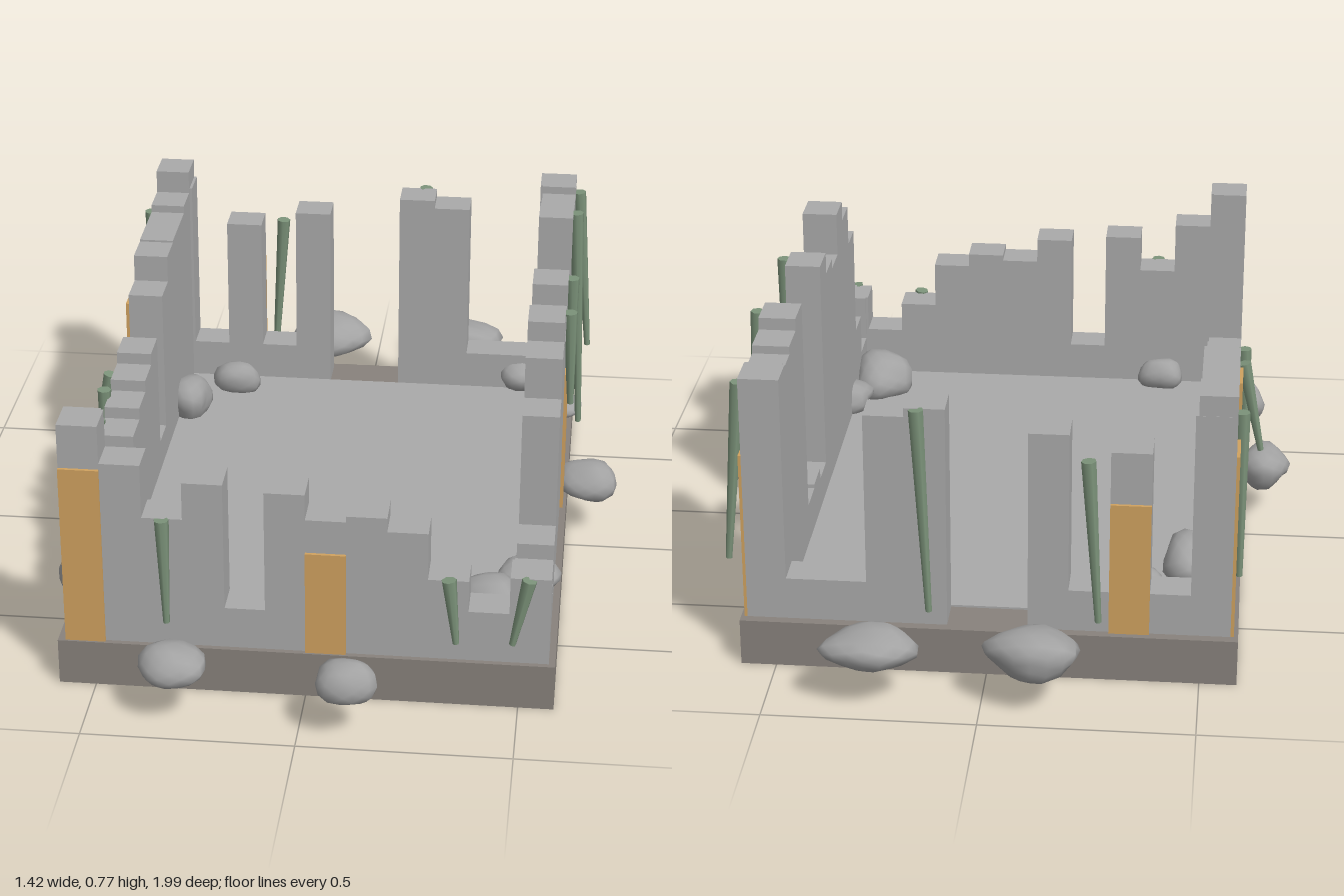
import * as THREE from 'three';
import { mergeVertices } from 'three/addons/utils/BufferGeometryUtils.js';

const mat = (name, color) => {
  const m = new THREE.MeshStandardMaterial({ color });
  m.name = name;
  return m;
};

export function createModel() {
  const model = new THREE.Group();
  const stone = mat('wallStone', 0xaaaaaa);
  const earth = mat('foundationStone', 0x88827c);
  const wood = mat('ochrePanel', 0xd0a260);
  const moss = mat('vineGreen', 0x7c937a);
  const rubble = mat('rubbleGrey', 0xa2a2a2);

  // Box given by its minimum and maximum corners
  const box = (name, material, x0, x1, y0, y1, z0, z1, parent = model) => {
    const mesh = new THREE.Mesh(new THREE.BoxGeometry(x1 - x0, y1 - y0, z1 - z0), material);
    mesh.position.set((x0 + x1) / 2, (y0 + y1) / 2, (z0 + z1) / 2);
    mesh.name = name;
    parent.add(mesh);
    return mesh;
  };

  const BASE = 0.115, X0 = -0.57, X1 = 0.568, ZF = 0.772, ZB = -0.747;
  const CELL = 0.0949, T = 0.088, PLATE = 0.008;

  // Foundation and inner floor
  box('foundation', earth, -0.588, 0.584, 0, BASE, -0.77, 0.785);
  box('floor', stone, X0 + T, X1 - T, BASE, BASE + 0.005, ZB + T, ZF - T);

  // Broken walls: one block per cell, heights from -x to +x or from front to back (0 is a gap)
  const wall = (name, heights, place) => {
    const group = new THREE.Group();
    group.name = name;
    heights.forEach((h, i) => {
      if (!h) return;
      const [x0, x1, z0, z1] = place(i);
      box('wallBlock', stone, x0, x1, BASE, h, z0, z1, group);
    });
    model.add(group);
  };
  const cx = (i) => X0 + i * CELL;
  const cz = (i) => ZF - i * CELL;
  wall('frontWall',
    [0.68, 0.585, 0.45, 0.545, 0.22, 0.53, 0.465, 0.48, 0.445, 0.325, 0.245, 0.34],
    (i) => [cx(i), cx(i + 1), ZF - T, ZF]);
  wall('backWall',
    [0.68, 0.22, 0.58, 0.22, 0.62, 0, 0, 0.672, 0.65, 0.22, 0.22, 0.73],
    (i) => [cx(i), cx(i + 1), ZB, ZB + T]);
  wall('leftSideWall',
    [0.34, 0.22, 0.325, 0.615, 0.72, 0.77, 0.66, 0.685, 0.74, 0.2, 0.23, 0.22, 0.76, 0.73, 0.71, 0.73],
    (i) => [X1 - T, X1, cz(i + 1), cz(i)]);
  wall('rightSideWall',
    [0.68, 0.2, 0.3, 0.33, 0.37, 0.41, 0.44, 0.47, 0.5, 0.2, 0.575, 0.645, 0.65, 0.65, 0.67, 0.73],
    (i) => [X0, X0 + T, cz(i + 1), cz(i)]);

  // Ochre panels on the outer wall faces
  for (const [i, h] of [[0, 0.57], [6, 0.38]])
    box('frontPanel', wood, cx(i), cx(i + 1), BASE, h, ZF, ZF + PLATE);
  box('backPanel', wood, cx(2), cx(3), BASE, 0.45, ZB - PLATE, ZB);
  for (const [i, h] of [[8, 0.495], [15, 0.535]])
    box('leftSidePanel', wood, X1, X1 + PLATE, BASE, h, cz(i + 1), cz(i));
  for (const [i, h] of [[7, 0.29], [10, 0.55], [15, 0.58]])
    box('rightSidePanel', wood, X0 - PLATE, X0, BASE, h, cz(i + 1), cz(i));

  // Hanging vines: tapered stems from top point to tip
  const vine = (top, tip) => {
    const a = new THREE.Vector3(...top), b = new THREE.Vector3(...tip);
    const dir = a.clone().sub(b);
    const mesh = new THREE.Mesh(new THREE.CylinderGeometry(0.018, 0.008, dir.length(), 7), moss);
    mesh.position.copy(a).add(b).multiplyScalar(0.5);
    mesh.quaternion.setFromUnitVectors(new THREE.Vector3(0, 1, 0), dir.normalize());
    mesh.name = 'vine';
    model.add(mesh);
  };
  [
    [[-0.333, 0.45, 0.778], [-0.327, 0.18, 0.783]],
    [[0.333, 0.33, 0.778], [0.352, 0.165, 0.783]],
    [[0.518, 0.34, 0.778], [0.483, 0.17, 0.783]],
    [[0.577, 0.69, 0.062], [0.585, 0.44, 0.06]],
    [[0.577, 0.74, -0.033], [0.582, 0.49, -0.037]],
    [[0.577, 0.757, -0.413], [0.602, 0.15, -0.416]],
    [[0.578, 0.70, -0.697], [0.616, 0.245, -0.70]],
    [[0.16, 0.672, -0.753], [0.135, 0.16, -0.765]],
    [[-0.235, 0.56, -0.753], [-0.262, 0.15, -0.765]],
    [[-0.58, 0.63, -0.61], [-0.585, 0.21, -0.62]],
    [[-0.58, 0.46, 0.055], [-0.63, 0.22, 0.05]],
    [[-0.58, 0.46, 0.145], [-0.588, 0.2, 0.14]],
    [[-0.58, 0.42, 0.235], [-0.59, 0.2, 0.245]],
    [[-0.58, 0.245, 0.625], [-0.59, 0.13, 0.62]],
  ].forEach(([a, b]) => vine(a, b));

  // Rubble: rounded stones with a lumpy surface; centre then radii
  const rock = (x, y, z, rx, ry, rz, seed) => {
    let geo = new THREE.IcosahedronGeometry(1, 2);
    geo.deleteAttribute('normal');
    geo.deleteAttribute('uv');
    geo = mergeVertices(geo);
    const p = geo.attributes.position;
    for (let i = 0; i < p.count; i++) {
      const [a, b, c] = [p.getX(i), p.getY(i), p.getZ(i)];
      const k = 0.95 + 0.08 * Math.sin(3.1 * a + seed * 1.7) + 0.07 * Math.sin(3.7 * b + 2.3 * c + seed)
        + 0.06 * Math.sin(4.3 * c - 2 * a + seed * 2.9);
      p.setXYZ(i, a * k * rx, b * k * ry, c * k * rz);
    }
    geo.computeVertexNormals();
    const mesh = new THREE.Mesh(geo, rubble);
    mesh.position.set(x, y, z);
    mesh.name = 'rubbleStone';
    model.add(mesh);
  };
  [
    [-0.12, 0.143, -0.905, 0.122, 0.062, 0.088],
    [0.26, 0.143, -0.918, 0.112, 0.055, 0.083],
    [-0.35, 0.155, -0.575, 0.064, 0.05, 0.05],
    [-0.465, 0.155, -0.44, 0.07, 0.06, 0.08],
    [0.44, 0.15, -0.68, 0.075, 0.05, 0.06],
    [0.565, 0.128, -0.545, 0.045, 0.03, 0.055],
    [0.632, 0.142, -0.092, 0.075, 0.06, 0.073],
    [-0.64, 0.142, 0.12, 0.072, 0.06, 0.08],
    [-0.585, 0.142, 0.51, 0.055, 0.055, 0.062],
    [-0.35, 0.15, 0.657, 0.06, 0.05, 0.042],
    [0.415, 0.155, 0.565, 0.085, 0.07, 0.09],
    [0.505, 0.152, 0.435, 0.088, 0.045, 0.066],
    [-0.292, 0.138, 0.902, 0.08, 0.055, 0.073],
    [0.11, 0.142, 0.94, 0.066, 0.063, 0.057],
  ].forEach((r, i) => rock(...r, i + 1));

  return model;
}
